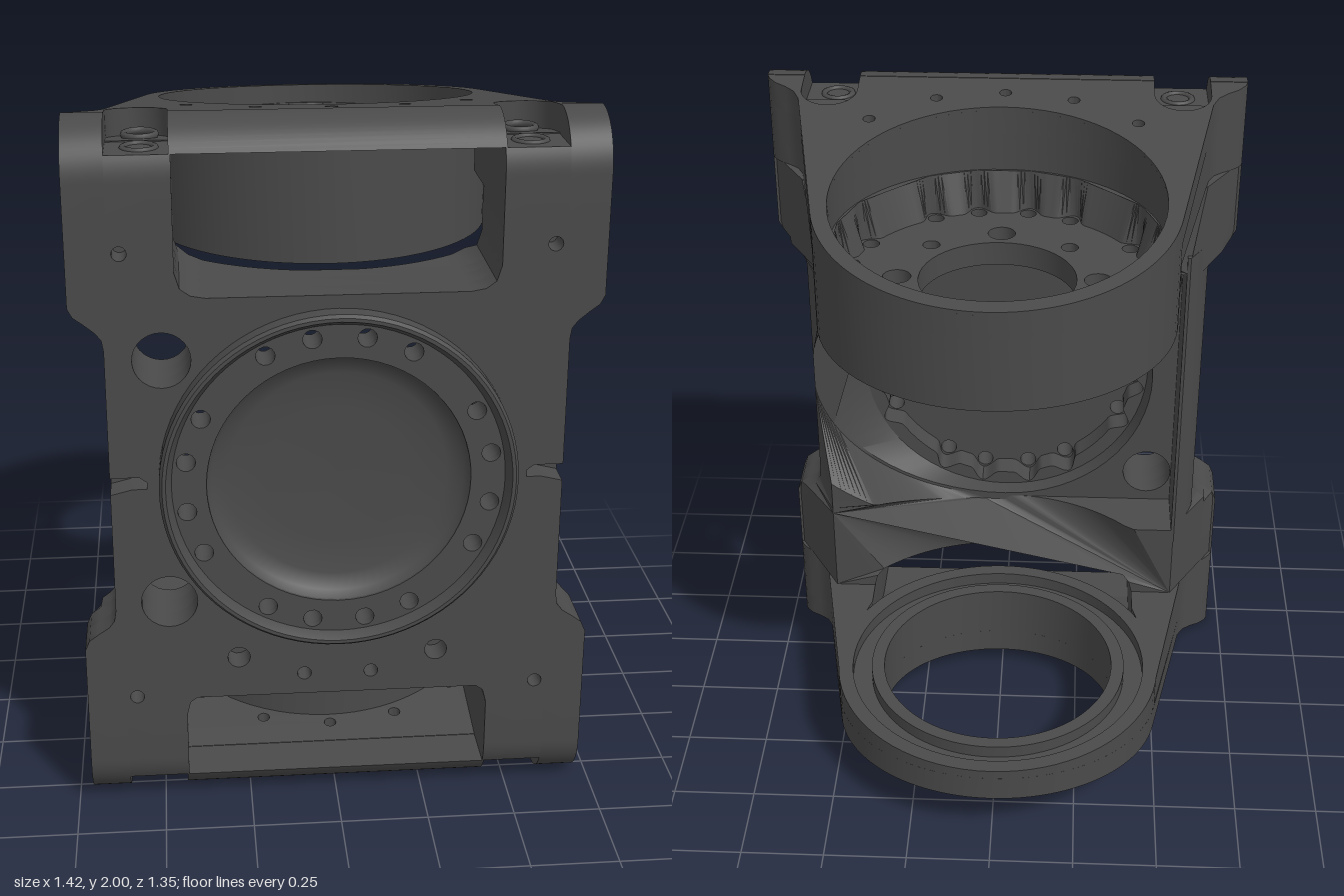
import * as THREE from 'three';
import { toCreasedNormals } from 'three/addons/utils/BufferGeometryUtils.js';

const dark = new THREE.MeshStandardMaterial({ color: 0x4a4a4a, side: THREE.DoubleSide });
const CY = 1.015;   // height of the bearing axis on the plate
const CZ = -0.17;   // depth of the arm bores

// closed point helpers
const arc = (cx, cy, r, a0, a1, n) => Array.from({ length: n + 1 }, (_, i) => {
  const a = a0 + (a1 - a0) * i / n;
  return [cx + r * Math.cos(a), cy + r * Math.sin(a)];
});
const circle = (cx, cy, r, n = 16) => arc(cx, cy, r, 0, Math.PI * 2, n).slice(0, n);
const mirrored = pts => [...pts, ...pts.map(([x, y]) => [-x, y]).reverse()];
const row = (x0, x1, y, n) => Array.from({ length: n }, (_, i) => [x0 + (x1 - x0) * i / (n - 1), y]);

function addMesh(parent, name, geometry, x = 0, y = 0, z = 0) {
  const mesh = new THREE.Mesh(geometry, dark);
  mesh.name = name;
  mesh.position.set(x, y, z);
  parent.add(mesh);
  return mesh;
}

// extrude an outline with holes by one unit, then place every vertex by a rule
function solid(parent, name, pts, holes, place) {
  const vectors = list => list.map(p => new THREE.Vector2(...p));
  const shape = new THREE.Shape(vectors(pts));
  shape.holes = holes.map(h => new THREE.Path(vectors(h)));
  const g = new THREE.ExtrudeGeometry(shape, { depth: 1, bevelEnabled: false, steps: 1 });
  const pos = g.attributes.position;
  for (let i = 0; i < pos.count; i++) pos.setXYZ(i, ...place(pos.getX(i), pos.getY(i), pos.getZ(i)));
  return addMesh(parent, name, toCreasedNormals(g, 0.6));
}
const alongZ = (z0, z1) => (a, b, t) => [a, b, z0 + (z1 - z0) * t];
// outlines in (x, -z), rising from lo(z) to hi(z)
const alongY = (lo, hi) => (a, b, t) => [a, lo(-b) + (hi(-b) - lo(-b)) * t, -b];
const flip = pts => pts.map(([x, z]) => [x, -z]);

// sixteen bolt positions: four per quadrant, none on the diagonals
const boltAngles = [];
for (let q = 0; q < 4; q++)
  for (const d of [10, 28, 62, 80]) boltAngles.push((q * 90 + d) * Math.PI / 180);
const boltHoles = (cx, cy, r, size) =>
  boltAngles.map(a => circle(cx + r * Math.cos(a), cy + r * Math.sin(a), size, 14));

// inner wall contour with a soft bite at every bolt
const scalloped = (cx, cy) => Array.from({ length: 288 }, (_, i) => {
  const a = i / 288 * Math.PI * 2;
  let r = 0.415;
  for (const b of boltAngles) {
    const d = Math.abs(Math.atan2(Math.sin(a - b), Math.cos(a - b)));
    if (d < 0.12) r = Math.max(r, 0.435 + 0.02 * Math.cos(d / 0.12 * Math.PI));
  }
  return [cx + r * Math.cos(a), cy + r * Math.sin(a)];
});

function buildPlate(root) {
  const plate = new THREE.Group();
  plate.name = 'frontPlate';
  root.add(plate);
  const lower = [[0.40, 0.345], [0.42, 0.33], [0.43, 0.29], [0.71, 0.29], [0.71, 0.51], [0.697, 0.54],
    [0.67, 0.56], [0.64, 0.58], [0.625, 0.6], [0.62, 0.63]];
  const upper = [[0.62, 1.4], [0.625, 1.43], [0.64, 1.45], [0.67, 1.475], [0.697, 1.495], [0.71, 1.52],
    [0.71, 1.74], [0.43, 1.74], [0.43, 1.61], [0.417, 1.567], [0.39, 1.547], [0.35, 1.54]];
  const notch = [[0.62, 0.985], [0.56, 1.0], [0.52, 1.0], [0.52, 1.02], [0.54, 1.035], [0.62, 1.035]];
  const cable = [circle(-0.47, 1.37, 0.078, 28), circle(-0.47, 0.655, 0.078, 28)];
  const bolts = boltHoles(0, CY, 0.42, 0.026);
  const bore = circle(0, CY, 0.36, 64);
  const screws = [];
  for (const s of [-1, 1])
    for (const [x, y, r] of [[0.57, 1.665, 0.02], [0.57, 0.355, 0.02], [0.28, 0.47, 0.032], [0.095, 0.41, 0.02]])
      screws.push(circle(s * x, y, r, 14));
  // shoulders taper in towards the rear
  const taper = (x, z) => Math.sign(x) * Math.min(Math.abs(x), 0.6 + (z - 0.28) * 0.6);

  // face, middle and flared rear layers
  const outline = mirrored([...lower, ...upper]);
  solid(plate, 'plateFace', mirrored([...lower, ...notch, ...upper]), [bore, ...cable, ...bolts, ...screws], alongZ(0.53, 0.61));
  solid(plate, 'plateCore', outline, [scalloped(0, CY), ...cable], alongZ(0.45, 0.53));
  solid(plate, 'recessFlare', outline, [circle(0, CY, 0.46, 64), ...cable], (x, y, t) => {
    const onRim = Math.abs(Math.hypot(x, y - CY) - 0.46) < 1e-3;
    const k = onRim ? (1 - t) * (x > 0 ? 0.335 : 0.03) : 0;
    const z = 0.39 + 0.06 * t;
    return [taper(x * (1 + k), z), y, z];
  });

  // rear bands: sloping curved wall round the recess, hollowed round the arm bore axis
  const W0 = 0.62, W1 = 0.558, R0 = 0.625, R1 = 0.74, RY = 0.47;
  const a0 = Math.acos(W0 / R0), a1 = Math.acos(W1 / R1);
  const band = (name, edge, sign) => {
    const curve = arc(0, 0, 1, Math.PI / 2, a0, 28).map(([c, s]) => [R0 * c, CY + sign * RY * s]);
    solid(plate, name, [...mirrored(edge), ...row(-W0, -0.02, CY + sign * RY, 20), ...curve], [], (x, y, t) => {
      const c = x / R0, s = sign * (y - CY) / RY;
      let z = 0.21 + 0.18 * t, px = x, py = y;
      if (x > -1e-4 && Math.abs(c * c + s * s - 1) < 1e-3) {
        const b = Math.atan2(s, c);
        const back = Math.PI / 2 - (Math.PI / 2 - b) / (Math.PI / 2 - a0) * (Math.PI / 2 - a1);
        const a = back + (b - back) * t;
        px = (R1 + (R0 - R1) * t) * Math.cos(a);
        py = CY + sign * (RY + 0.015 * (1 - t)) * Math.sin(a);
      }
      if (py > 1.55) z = Math.max(z, 0.28);
      if (Math.abs(px) < 0.56) z = Math.min(0.39, Math.max(z, CZ + Math.sqrt(0.565 ** 2 - px * px)));
      return [taper(px, z), py, z];
    });
  };
  band('upperRearBand', [...upper, ...row(0.32, 0.02, 1.54, 11)], 1);
  band('lowerRearBand', [...[...lower].reverse(), ...row(0.37, 0.02, 0.345, 12)], -1);
  const rail = [[-0.55, 0.21], [-0.56, 0.21], [-0.6, 0.28], [-0.62, 0.33], [-0.62, 0.45], [-0.55, 0.45]];
  solid(plate, 'sideRail', flip(rail), [], alongY(() => 0.5, () => 1.54));

  // raised bolt ring with a chamfered lip, and a shallow dished cover
  solid(plate, 'boltRing', circle(0, CY, 0.47, 80), [bore, ...bolts], alongZ(0.61, 0.64));
  const turned = pts => new THREE.LatheGeometry(pts.map(p => new THREE.Vector2(...p)), 80).rotateX(Math.PI / 2);
  const lip = turned([[0.452, 0.63], [0.455, 0.643], [0.47, 0.67], [0.48, 0.67], [0.488, 0.66], [0.488, 0.6]]);
  addMesh(plate, 'ringLip', toCreasedNormals(lip, 0.6), 0, CY, 0);
  addMesh(plate, 'dishedCover', turned([[0, 0.575], [0.2, 0.578], [0.3, 0.588], [0.345, 0.605], [0.362, 0.635]]), 0, CY, 0);
  solid(plate, 'coverBack', circle(0, CY, 0.362, 64), [], alongZ(0.53, 0.57));

  // small side screws
  for (const s of [-1, 1]) for (const y of [0.655, 0.78, 1.25, 1.37])
    addMesh(plate, 'sideScrewHole', new THREE.TorusGeometry(0.018, 0.004, 6, 16), s * 0.619, y, 0.53).rotation.y = Math.PI / 2;
}

// one arm, joint plane at y = 0, sloping towards the rounded end
function buildArm(name, H, slope, bore) {
  const arm = new THREE.Group();
  arm.name = name;
  const top = z => H - (0.46 - Math.min(z, 0.46)) * slope;
  const below = d => z => top(z) - d;
  const flat = y => () => y;
  const flare = [[0.71, 0.45], [0.702, 0.43], [0.68, 0.405], [0.65, 0.385], [0.622, 0.36], [0.603, 0.32]];
  const t0 = -0.173;

  // sloped deck with screw slots at the front corners
  const slot = [[0.435, 0.45], ...arc(0.5175, 0.37, 0.0825, Math.PI, Math.PI * 2, 16), [0.6, 0.45]];
  const outline = mirrored([...slot, ...flare, ...arc(0, CZ, 0.505, t0, -Math.PI / 2 + 0.02, 32)]);
  const small = [[0, 0.37], [0.2, 0.335], [-0.2, 0.335], [0.385, 0.215], [-0.385, 0.215]].map(([x, z]) => circle(x, -z, 0.018, 12));
  const deckHoles = [circle(0, -CZ, bore, 72), ...small];
  if (bore < 0.4) deckHoles.push(...boltHoles(0, -CZ, 0.43, 0.017));
  solid(arm, 'deck', flip(outline), deckHoles, alongY(below(0.08), top));

  // side skirts under the deck
  const skirt = [[0.43, 0.45], ...flare, ...arc(0, CZ, 0.503, t0, -0.4, 5), [0.465, -0.25], [0.48, -0.1], [0.45, 0.05], [0.43, 0.12]];
  for (const s of [-1, 1])
    solid(arm, 'sideSkirt', flip(skirt.map(([x, z]) => [s * x, z])), [], alongY(flat(0), below(0.075)));

  // rounded front beam: two legs, two slot floors, one lintel
  const beam = (label, x0, x1, lo, hi) => {
    const edgeZ = y => y <= H - 0.15 ? 0.61 : 0.46 + Math.sqrt(0.0225 - (y - H + 0.15) ** 2);
    const round = arc(0.46, H - 0.15, 0.15, 0, Math.PI / 2, 16).filter(p => p[1] < hi && p[1] > lo);
    const pts = [[0.45, lo], [edgeZ(lo), lo], ...round, [edgeZ(hi), hi], [0.45, hi]];
    solid(arm, label, pts, [], (a, b, t) => [x1 - (x1 - x0) * t, b, a]);
  };
  beam('lintel', -0.435, 0.435, H - 0.08, H);
  for (const s of [-1, 1]) {
    beam('cornerLeg', ...(s > 0 ? [0.6, 0.71] : [-0.71, -0.6]), 0, H);
    beam('slotFloor', ...(s > 0 ? [0.43, 0.6] : [-0.6, -0.43]), 0, H - 0.08);
    for (const z of [0.355, 0.51])
      addMesh(arm, 'slotScrew', new THREE.TorusGeometry(0.042, 0.01, 8, 24), s * 0.51, H - 0.082, z).rotation.x = Math.PI / 2;
  }
  const tube = (label, rOut, rIn, lo, hi) =>
    solid(arm, label, circle(0, -CZ, rOut, 80), [circle(0, -CZ, rIn, 80)], alongY(lo, hi));
  return { arm, tube, flat, below };
}

export function createModel() {
  const root = new THREE.Group();
  root.name = 'bracketFrame';
  buildPlate(root);

  // upper arm: a deep round cup with a drilled floor
  const up = buildArm('upperArm', 0.26, 0.15, 0.46);
  up.arm.position.y = 1.74;
  up.tube('cupWall', 0.505, 0.46, up.flat(-0.2), up.below(0.01));
  const inner = [circle(0, -CZ, 0.22, 48), ...boltHoles(0, -CZ, 0.42, 0.024)];
  for (let i = 0; i < 8; i++) {
    const a = i * Math.PI / 4;
    inner.push(circle(0.28 * Math.cos(a), -CZ + 0.28 * Math.sin(a), i % 2 ? 0.025 : 0.04, 20));
  }
  solid(up.arm, 'cupFloor', circle(0, -CZ, 0.47, 72), inner, alongY(() => -0.15, () => -0.08));
  // scalloped liner leaning out to meet the cup wall
  solid(up.arm, 'scallopedLiner', circle(0, -CZ, 0.465, 72), [scalloped(0, -CZ)], (a, b, t) => {
    const r = Math.hypot(a, b + CZ);
    const k = 1 + t * (Math.max(r, 0.457) / r - 1);
    return [a * k, -0.08 + 0.12 * t, -(-CZ + (b + CZ) * k)];
  });
  root.add(up.arm);

  // lower arm: mirrored, with an open bore and a shallow annular channel
  const low = buildArm('lowerArm', 0.29, 0.16, 0.36);
  low.arm.scale.y = -1;
  low.arm.position.y = 0.29;
  low.tube('outerRim', 0.505, 0.46, low.flat(0), low.below(0.01));
  low.tube('boreWall', 0.4, 0.36, low.flat(0), low.below(0.01));
  low.tube('channelFloor', 0.47, 0.39, low.flat(0.04), low.flat(0.08));
  addMesh(low.arm, 'locatingTab', new THREE.CylinderGeometry(0.035, 0.035, 0.07, 20), 0.25, 0.12, -0.45);
  root.add(low.arm);
  return root;
}
